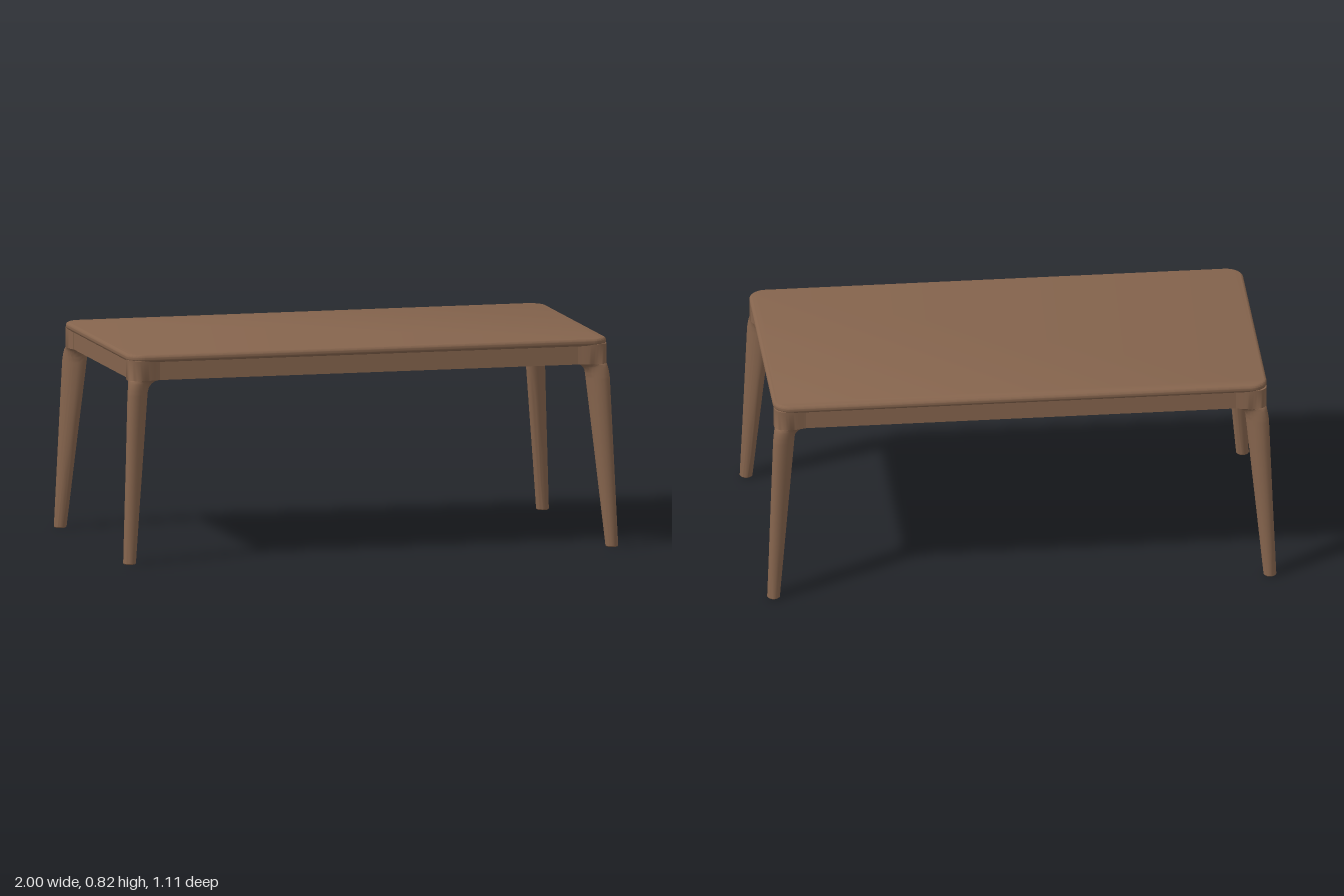
import * as THREE from 'three';
import { toCreasedNormals } from 'three/addons/utils/BufferGeometryUtils.js';

const wood = new THREE.MeshStandardMaterial({ color: 0x85644d });
wood.name = 'walnut wood';

function part(name, geometry, parent) {
  const mesh = new THREE.Mesh(geometry, wood);
  mesh.name = name;
  parent.add(mesh);
  return mesh;
}

function roundedRect(hx, hz, r) {
  const s = new THREE.Shape();
  s.absarc(hx - r, hz - r, r, 0, Math.PI / 2);
  s.absarc(-hx + r, hz - r, r, Math.PI / 2, Math.PI);
  s.absarc(-hx + r, -hz + r, r, Math.PI, Math.PI * 1.5);
  s.absarc(hx - r, -hz + r, r, Math.PI * 1.5, Math.PI * 2);
  s.closePath();
  return s;
}

// Slab with softly rounded corners and edges
function topGeometry() {
  const bevel = 0.013, depth = 0.004;
  const g = new THREE.ExtrudeGeometry(roundedRect(0.97 - bevel, 0.518 - bevel, 0.055), {
    depth, bevelThickness: bevel, bevelSize: bevel, bevelSegments: 5, curveSegments: 10,
  });
  g.rotateX(-Math.PI / 2);
  g.translate(0, 0.79 + bevel, 0);
  return toCreasedNormals(g, 0.6);
}

// Plan outline of the leg head: rounded outer corner, two arms, diagonal inner face
function headOutline() {
  const s = new THREE.Shape();
  s.moveTo(0.953, 0.405);
  s.bezierCurveTo(0.957, 0.425, 0.968, 0.435, 0.968, 0.462);
  s.bezierCurveTo(0.968, 0.5, 0.952, 0.516, 0.914, 0.516);
  s.bezierCurveTo(0.887, 0.516, 0.865, 0.507, 0.845, 0.503);
  s.lineTo(0.845, 0.473);
  const pts = s.getPoints(8);
  const a = pts[pts.length - 1], b = new THREE.Vector2(0.923, 0.405);
  for (let i = 1; i <= 8; i++) pts.push(a.clone().lerp(b, i / 8));
  return pts;
}

// Tapered, splayed leg that flares through a fillet into its head
function legGeometry(sx, sz) {
  const head = headOutline();
  const center = (y) => new THREE.Vector2(0.975 - 0.068 * y, 0.53 - 0.072 * y);
  const hub = center(0.69);
  const angles = head.map((p) => Math.atan2(p.y - hub.y, p.x - hub.x));

  const section = (y, inset, t) => head.map((h, i) => {
    const k = Math.min(y / 0.66, 1);
    const along = 0.025 + 0.027 * k - inset, across = 0.025 + 0.009 * k - inset;
    const d = angles[i] - Math.PI / 4;
    const r = 1 / Math.hypot(Math.cos(d) / along, Math.sin(d) / across);
    const c = center(y);
    const p = new THREE.Vector2(c.x + r * Math.cos(angles[i]), c.y + r * Math.sin(angles[i]));
    p.lerp(h, t);
    return [sx * p.x, y, sz * p.y];
  });

  const rings = [section(0, 0.004, 0), section(0.004, 0, 0)];
  for (let i = 1; i <= 6; i++) rings.push(section(0.66 * i / 6, 0, 0));
  for (let i = 1; i <= 9; i++) {
    const s = Math.sin((i / 9) * Math.PI / 2);
    rings.push(section(0.66 + 0.058 * s, 0, 1 - Math.sqrt(Math.max(0, 1 - s * s))));
  }
  rings.push(section(0.797, 0, 1));

  const n = head.length, positions = rings.flat(2), index = [];
  const flip = sx * sz < 0;
  const tri = (a, b, c) => (flip ? index.push(a, c, b) : index.push(a, b, c));
  for (let j = 0; j < rings.length - 1; j++) {
    for (let i = 0; i < n; i++) {
      const a = j * n + i, b = j * n + (i + 1) % n;
      tri(a, a + n, b);
      tri(b, a + n, b + n);
    }
  }
  // Foot and head caps
  const last = (rings.length - 1) * n;
  for (let i = 1; i < n - 1; i++) {
    tri(0, i, i + 1);
    tri(last, last + i + 1, last + i);
  }
  const g = new THREE.BufferGeometry();
  g.setAttribute('position', new THREE.Float32BufferAttribute(positions, 3));
  g.setIndex(index);
  return toCreasedNormals(g, 0.65);
}

export function createModel() {
  const table = new THREE.Group();
  table.name = 'table';

  part('tableTop', topGeometry(), table);

  // Apron rails between the leg heads
  const y0 = 0.718, y1 = 0.795, thick = 0.03;
  for (const s of [1, -1]) {
    const long = new THREE.BoxGeometry(1.692, y1 - y0, thick);
    part(s > 0 ? 'frontRail' : 'backRail', long, table).position.set(0, (y0 + y1) / 2, s * (0.502 - thick / 2));
    const short = new THREE.BoxGeometry(thick, y1 - y0, 0.812);
    part(s > 0 ? 'leftRail' : 'rightRail', short, table).position.set(s * (0.952 - thick / 2), (y0 + y1) / 2, 0);
  }

  for (const sx of [1, -1]) {
    for (const sz of [1, -1]) {
      part((sz > 0 ? 'front' : 'back') + (sx > 0 ? 'Left' : 'Right') + 'Leg', legGeometry(sx, sz), table);
    }
  }
  return table;
}
